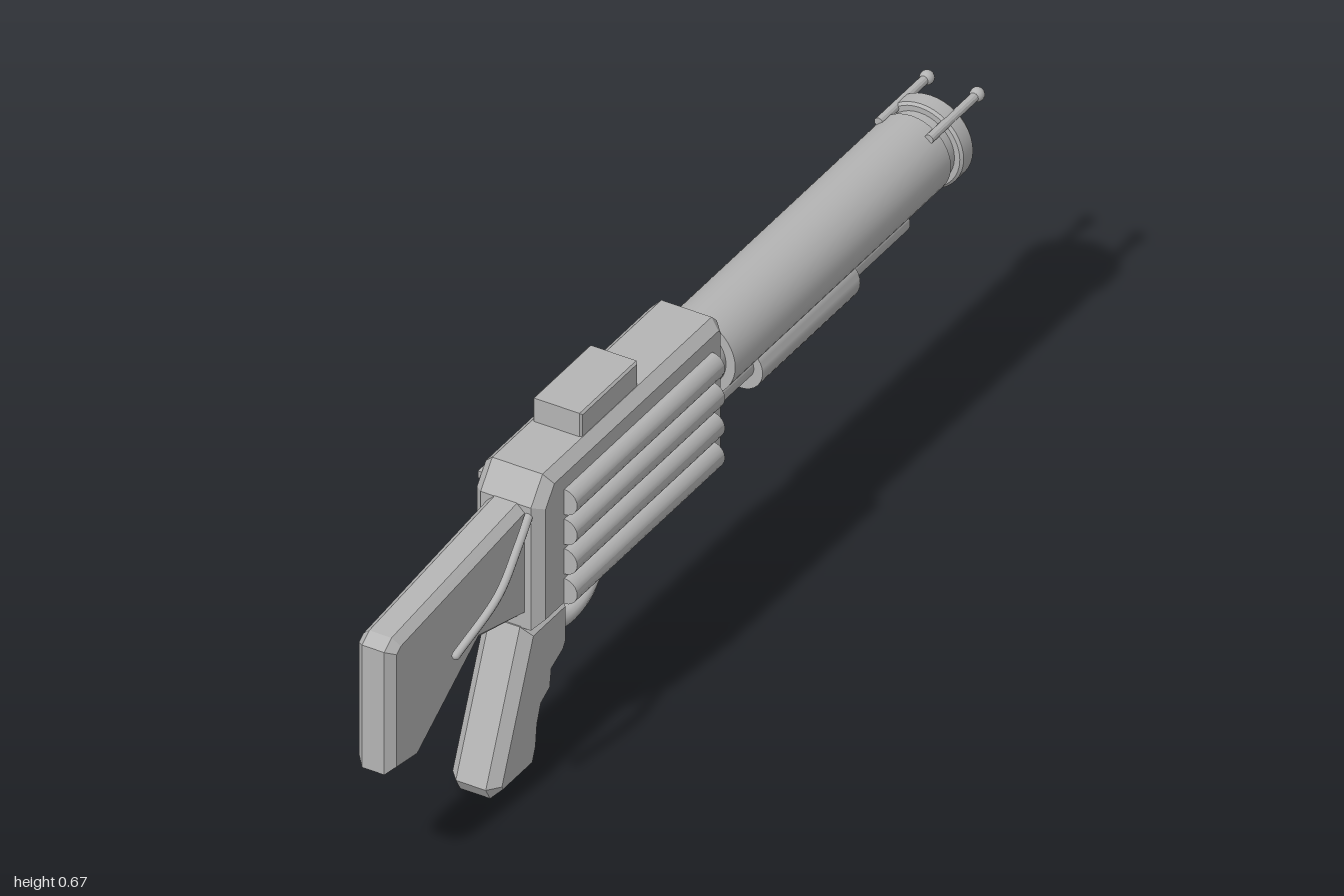
import * as THREE from 'three';
import { toCreasedNormals } from 'three/addons/utils/BufferGeometryUtils.js';

const CX = -0.006; // centre plane of the body

export function createModel() {
  const root = new THREE.Group();
  root.name = 'shotgun';
  const metal = new THREE.MeshStandardMaterial({ color: 0xb4b4b4 });
  metal.name = 'grey metal';

  const add = (name, geometry, x = 0, y = 0, z = 0) => {
    const mesh = new THREE.Mesh(geometry, metal);
    mesh.name = name;
    mesh.position.set(x, y, z);
    root.add(mesh);
    return mesh;
  };

  // Side profile of [z, y] points, extruded across x with chamfered edges
  const slab = (name, profile, width, bevel) => {
    const shape = new THREE.Shape(profile.map(([z, y]) => new THREE.Vector2(z, y)));
    const geometry = new THREE.ExtrudeGeometry(shape, {
      depth: width - 2 * bevel, bevelEnabled: true, bevelSegments: 1,
      bevelSize: bevel, bevelThickness: bevel, bevelOffset: -bevel,
    });
    geometry.translate(0, 0, -(width - 2 * bevel) / 2);
    geometry.rotateY(-Math.PI / 2);
    return add(name, geometry, CX);
  };

  // Profile of [radius, forward distance] points turned around the z direction
  const turned = (name, profile, x, y, segments = 40) => {
    const geometry = new THREE.LatheGeometry(profile.map(([r, d]) => new THREE.Vector2(r, d)), segments);
    geometry.rotateX(-Math.PI / 2);
    return add(name, toCreasedNormals(geometry, 0.5), x, y);
  };

  const rod = (name, radius, zBack, zFront, x, y, segments = 24) =>
    turned(name, [[0, -zBack], [radius, -zBack], [radius, -zFront], [0, -zFront]], x, y, segments);

  const tube = (name, points, radius) => {
    const curve = new THREE.CatmullRomCurve3(points.map((p) => new THREE.Vector3(...p)));
    add(name, new THREE.TubeGeometry(curve, 24, radius, 10));
    for (const end of [points[0], points[points.length - 1]]) {
      add(name + 'End', new THREE.SphereGeometry(radius, 10, 8), ...end);
    }
  };

  // Body
  slab('receiver', [
    [-0.093, 0.308], [0.545, 0.308], [0.545, 0.57], [0.505, 0.62], [-0.075, 0.62], [-0.093, 0.602],
  ], 0.142, 0.019);
  slab('stock', [
    [0.53, 0.325], [0.7, 0.368], [0.91, 0.238], [1, 0.253], [1, 0.515], [0.975, 0.532], [0.53, 0.572],
  ], 0.078, 0.016);
  slab('grip', [
    [0.665, 0.028], [0.65, 0.002], [0.525, 0.002], [0.508, 0.045], [0.503, 0.09], [0.493, 0.118],
    [0.46, 0.135], [0.455, 0.172], [0.42, 0.188], [0.405, 0.21], [0.405, 0.31], [0.548, 0.31],
  ], 0.102, 0.02);
  slab('topBlock', [[0.175, 0.6], [0.37, 0.6], [0.37, 0.67], [0.175, 0.67]], 0.102, 0.004);
  add('sideRail', new THREE.BoxGeometry(0.01, 0.014, 0.56), -0.08, 0.577, 0.23);

  // Row of shells on the left side
  for (let i = 0; i < 4; i++) {
    rod('shell', 0.027, 0.462, -0.045, 0.065, 0.542 - i * 0.0635, 20);
  }

  // Barrel with collar, neck, muzzle ring and bore
  turned('barrel', [
    [0, 0.08], [0.062, 0.08], [0.062, 0.108], [0.081, 0.108], [0.081, 0.848],
    [0.072, 0.848], [0.072, 0.875], [0.083, 0.875], [0.088, 0.88], [0.088, 0.912],
    [0.082, 0.92], [0.056, 0.92], [0.056, 0.905], [0.045, 0.905], [0.045, 0.75], [0, 0.75],
  ], CX, 0.503);

  // Magazine tube and sliding pump
  rod('magazineTube', 0.028, -0.08, -0.796, CX, 0.393);
  rod('pump', 0.046, -0.26, -0.595, CX, 0.389, 28);

  // Sight prongs with ball tips
  for (const side of [-1, 1]) {
    const x = CX + side * 0.052;
    rod('prong', 0.009, -0.82, -0.985, x, 0.568, 12);
    add('prongTip', new THREE.SphereGeometry(0.014, 14, 10), x, 0.568, -0.986);
  }

  // Trigger, its guard and the curved side lever
  tube('triggerGuard', [
    [CX, 0.315, 0.24], [CX, 0.255, 0.24], [CX, 0.218, 0.27], [CX, 0.203, 0.335], [CX, 0.22, 0.415],
  ], 0.016);
  tube('trigger', [[CX, 0.315, 0.335], [CX, 0.28, 0.315], [CX, 0.25, 0.325]], 0.009);
  tube('sideLever', [
    [0.038, 0.552, 0.535], [0.058, 0.528, 0.61], [0.076, 0.485, 0.71], [0.06, 0.422, 0.825],
  ], 0.008);

  return root;
}
